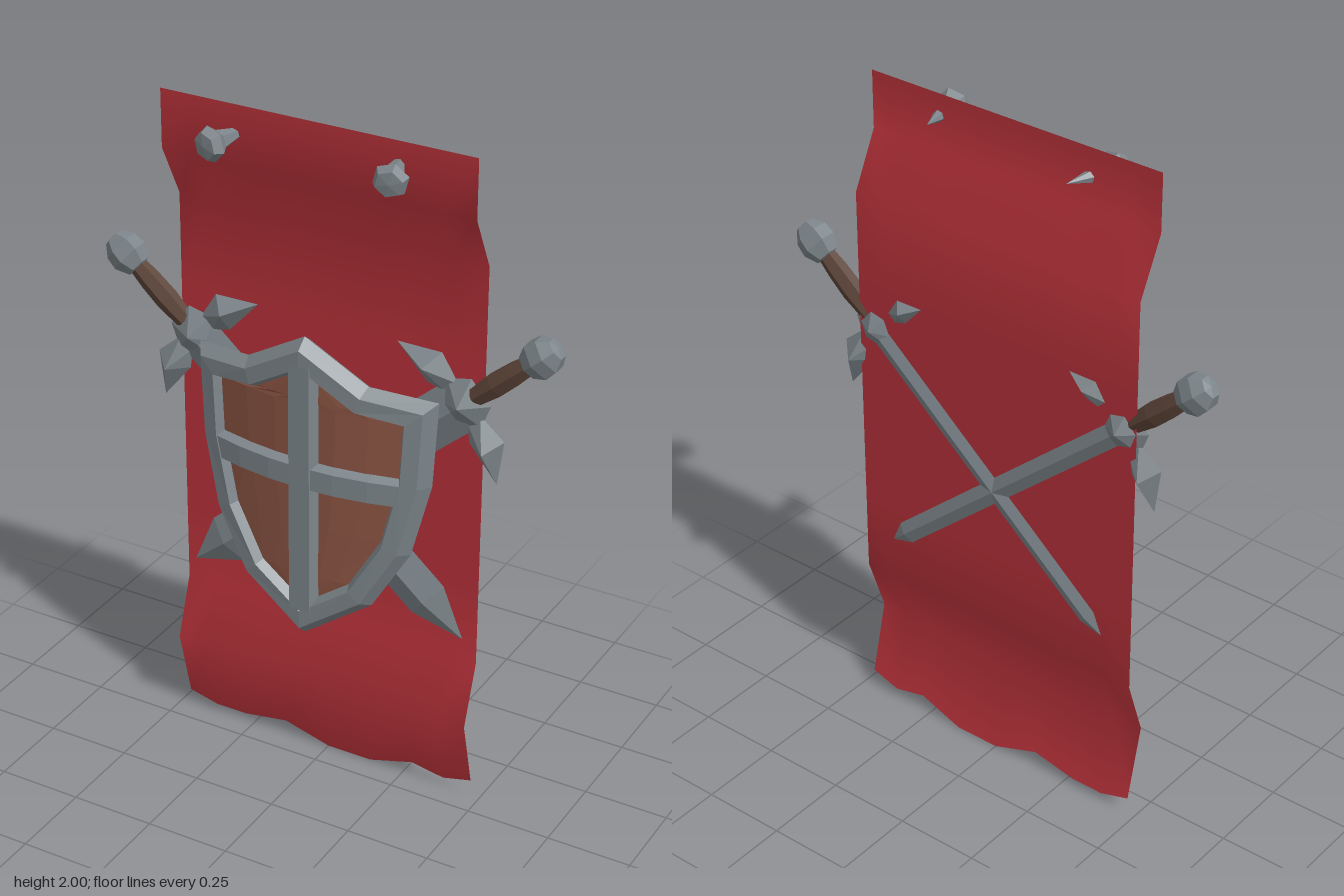
import * as THREE from 'three';

const mat = (name, color, flatShading = true) =>
  new THREE.MeshStandardMaterial({ name, color, flatShading, side: THREE.DoubleSide });

const red = mat('red cloth', 0xb8323a, false);
const steel = mat('steel', 0x7d868b);
const wood = mat('shield wood', 0x8c5543);
const leather = mat('grip leather', 0x5e463a);

function part(parent, name, geometry, material) {
  const mesh = new THREE.Mesh(geometry, material);
  mesh.name = name;
  parent.add(mesh);
  return mesh;
}

// Surface through rows of equally many [x, y, z] points
function skin(rows, closed = false) {
  const n = rows[0].length, index = [];
  for (let r = 0; r < rows.length - 1; r++) {
    for (let i = 0; i < (closed ? n : n - 1); i++) {
      const a = r * n + i, b = r * n + (i + 1) % n;
      index.push(a, a + n, b, b, a + n, b + n);
    }
  }
  const g = new THREE.BufferGeometry();
  g.setAttribute('position', new THREE.Float32BufferAttribute(rows.flat(2), 3));
  g.setIndex(index);
  g.computeVertexNormals();
  return g;
}

// Faceted plate: an outline rising to a ridge point on both sides
function gem(outline, [cx, cy], half) {
  const rim = outline.map(([x, y]) => [x, y, 0]);
  const apex = (z) => outline.map(() => [cx, cy, z]);
  return skin([apex(half), rim, apex(-half)], true);
}

// ---- banner ----
function banner() {
  const xs = [-0.47, -0.38, -0.28, -0.14, 0, 0.14, 0.28, 0.38, 0.47];
  const hem = [0.05, 0.025, 0.025, 0.05, 0.005, 0.005, 0.05, 0.03, 0.055];
  const folds = [[2, 0], [1.83, 0], [1.67, -0.08], [1.4, -0.08], [1, -0.08],
    [0.7, -0.08], [0.45, -0.08], [0.27, -0.018]];
  const rows = folds.map(([y, z]) => xs.map((x) => [x, y, z]));
  rows.push(xs.map((x, i) => [x, hem[i], -0.08 + hem[i] * 0.15]));
  return skin(rows);
}

// ---- shield: outlines bent over a curved front ----
const bend = (x) => 0.09 - 0.5 * x * x;

// Half outline from top to bottom, moved inward by d
const half = [[0, 1.41], [0.185, 1.3], [0.37, 1.275], [0.357, 1.02], [0.305, 0.8], [0.2, 0.62], [0, 0.48]];
function inset(d) {
  const at = (i) => {
    if (i < 0) return [-half[1][0], half[1][1]];
    if (i >= half.length) return [-half[half.length - 2][0], half[half.length - 2][1]];
    return half[i];
  };
  const normal = (a, b) => new THREE.Vector2(b[1] - a[1], a[0] - b[0]).normalize();
  return half.map((p, i) => {
    const n1 = normal(at(i - 1), p), n2 = normal(p, at(i + 1));
    const m = n1.clone().add(n2);
    m.multiplyScalar(d / (1 + n1.dot(n2)));
    return [p[0] + m.x, p[1] + m.y];
  });
}
function loop(d, dz) {
  const right = inset(d);
  const left = right.slice(1, -1).reverse().map(([x, y]) => [-x, y]);
  return [...right, ...left].map(([x, y]) => [x, y, bend(x) + dz]);
}
function sheet(d, dz) {
  return skin(inset(d).map(([w, y]) =>
    [-1, -0.66, -0.33, 0, 0.33, 0.66, 1].map((t) => [t * w, y, bend(t * w) + dz])));
}

function shield() {
  const g = new THREE.Group();
  g.name = 'shield';
  part(g, 'shieldRim', skin([loop(0.02, -0.065), loop(0, -0.035), loop(0.025, 0),
    loop(0.07, 0), loop(0.085, -0.03)], true), steel);
  part(g, 'shieldPanel', sheet(0.08, -0.028), wood);
  part(g, 'shieldBack', sheet(0.02, -0.065), steel);
  // bevelled cross bars
  const bevel = [[-0.045, -0.03], [-0.032, 0], [0.032, 0], [0.045, -0.03]];
  part(g, 'verticalBar', skin([1.335, 0.96, 0.57].map((y) =>
    bevel.map(([o, dz]) => [o, y, bend(0) + dz]))), steel);
  part(g, 'horizontalBar', skin([-0.3, -0.2, -0.1, 0, 0.1, 0.2, 0.3].map((x) =>
    bevel.map(([o, dz]) => [x, 0.995 + o, bend(x) + dz - 0.002]))), steel);
  return g;
}

// ---- sword: pommel at the origin, blade along -y ----
function sword(name) {
  const g = new THREE.Group();
  g.name = name;
  const knob = [[0, -0.06], [0.038, -0.05], [0.06, -0.012], [0.056, 0.025], [0.032, 0.056], [0, 0.06]]
    .map(([x, y]) => new THREE.Vector2(x, y));
  part(g, 'pommel', new THREE.LatheGeometry(knob, 6), steel).scale.z = 0.8;

  const wrap = [[0.028, -0.25], [0.036, -0.17], [0.034, -0.1], [0.028, -0.04]]
    .map(([x, y]) => new THREE.Vector2(x, y));
  part(g, 'grip', new THREE.LatheGeometry(wrap, 6), leather).scale.z = 0.8;

  part(g, 'guardCentre', gem([[-0.045, -0.225], [0.045, -0.225], [0.08, -0.29], [0.045, -0.36],
    [0, -0.385], [-0.045, -0.36], [-0.08, -0.29]], [0, -0.29], 0.046), steel);
  for (const s of [-1, 1]) {
    const wing = [[0.05, -0.27], [0.145, -0.255], [0.234, -0.356], [0.1, -0.352], [0.05, -0.32]];
    part(g, 'guardWing', gem(wing.map(([x, y]) => [s * x, y]), [s * 0.14, -0.31], 0.046), steel);
  }

  const section = (y, w, t) => [[w, y, 0], [0, y, t], [-w, y, 0], [0, y, -t]];
  part(g, 'blade', skin([section(-0.3, 0.075, 0.03), section(-1.27, 0.075, 0.03),
    section(-1.418, 0, 0)], true), steel);
  return g;
}

// ---- nail: point at the origin, head along +y ----
function nail() {
  const profile = [[0, 0], [0.03, 0.13], [0.05, 0.155], [0.038, 0.18], [0, 0.185]]
    .map(([x, y]) => new THREE.Vector2(x, y));
  return new THREE.LatheGeometry(profile, 6);
}

export function createModel() {
  const model = new THREE.Group();
  model.name = 'wallBanner';
  part(model, 'banner', banner(), red);
  model.add(shield());

  for (const s of [-1, 1]) {
    const blade = sword(s < 0 ? 'rightSword' : 'leftSword');
    blade.position.set(s * 0.637, 1.457, -0.063);
    blade.rotation.z = -s * 0.856;
    model.add(blade);

    const pin = part(model, s < 0 ? 'rightNail' : 'leftNail', nail(), steel);
    pin.position.set(s * 0.225, 1.93 + s * 0.012, -0.07);
    const axis = new THREE.Vector3(s * 0.045, -0.012 - s * 0.006, 0.17).normalize();
    pin.quaternion.setFromUnitVectors(new THREE.Vector3(0, 1, 0), axis);
  }
  return model;
}
